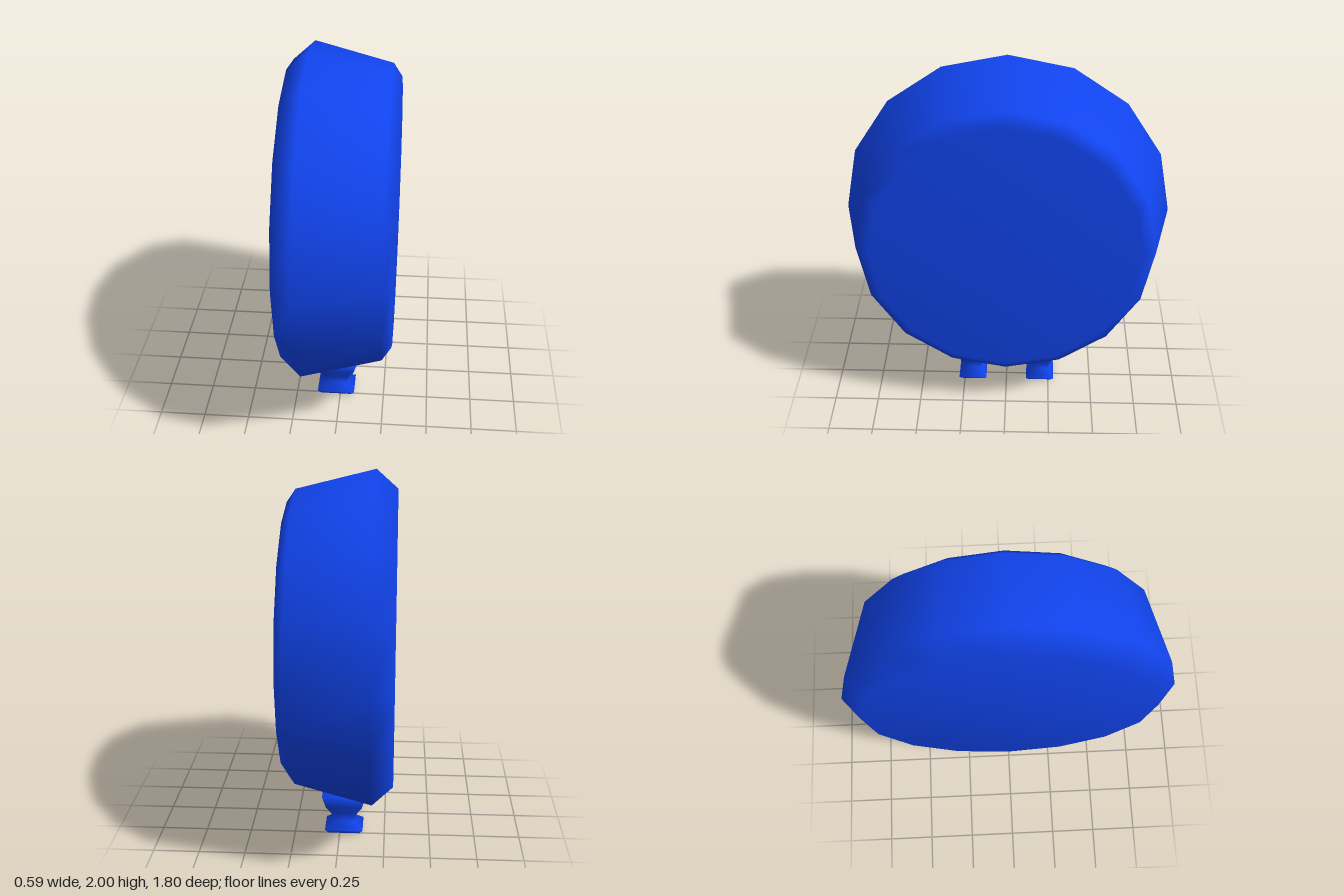
import * as THREE from 'three';
import { mergeVertices } from 'three/addons/utils/BufferGeometryUtils.js';

// Turned shape with normals smoothed across shared vertices
function turned(points, sides) {
  const lathe = new THREE.LatheGeometry(points.map(([r, y]) => new THREE.Vector2(r, y)), sides);
  lathe.deleteAttribute('normal');
  lathe.deleteAttribute('uv');
  const geometry = mergeVertices(lathe, 1e-4);
  geometry.computeVertexNormals();
  return geometry;
}

export function createModel() {
  const model = new THREE.Group();
  const blue = new THREE.MeshStandardMaterial({ color: 0x1144ee });

  // Sixteen-sided drum lying along x, tapering towards +x with bevelled rims
  const drum = turned([
    [0, -0.295], [0.82, -0.295], [0.923, -0.18],
    [0.815, 0.245], [0.745, 0.293], [0, 0.293],
  ], 16);
  drum.rotateZ(-Math.PI / 2);
  drum.scale(1, 1, 0.976);
  const body = new THREE.Mesh(drum, blue);
  body.name = 'drumBody';
  body.position.y = 1.077;
  model.add(body);

  // Square-sectioned legs: flared foot, narrow ankle, wider top sunk in the drum
  const profile = [
    [0, 0], [0.085, 0.006], [0.105, 0.03], [0.06, 0.065],
    [0.07, 0.12], [0.1, 0.17], [0.12, 0.24], [0, 0.26],
  ];
  const leg = turned(profile.map(([r, y]) => [r * Math.SQRT2, y]), 4);
  leg.rotateY(Math.PI / 4);
  leg.scale(1, 1, 0.77);
  for (const side of [1, -1]) {
    const foot = new THREE.Mesh(leg, blue);
    foot.name = side > 0 ? 'frontLeg' : 'backLeg';
    foot.position.set(-0.024, 0, side * 0.2);
    model.add(foot);
  }
  return model;
}
